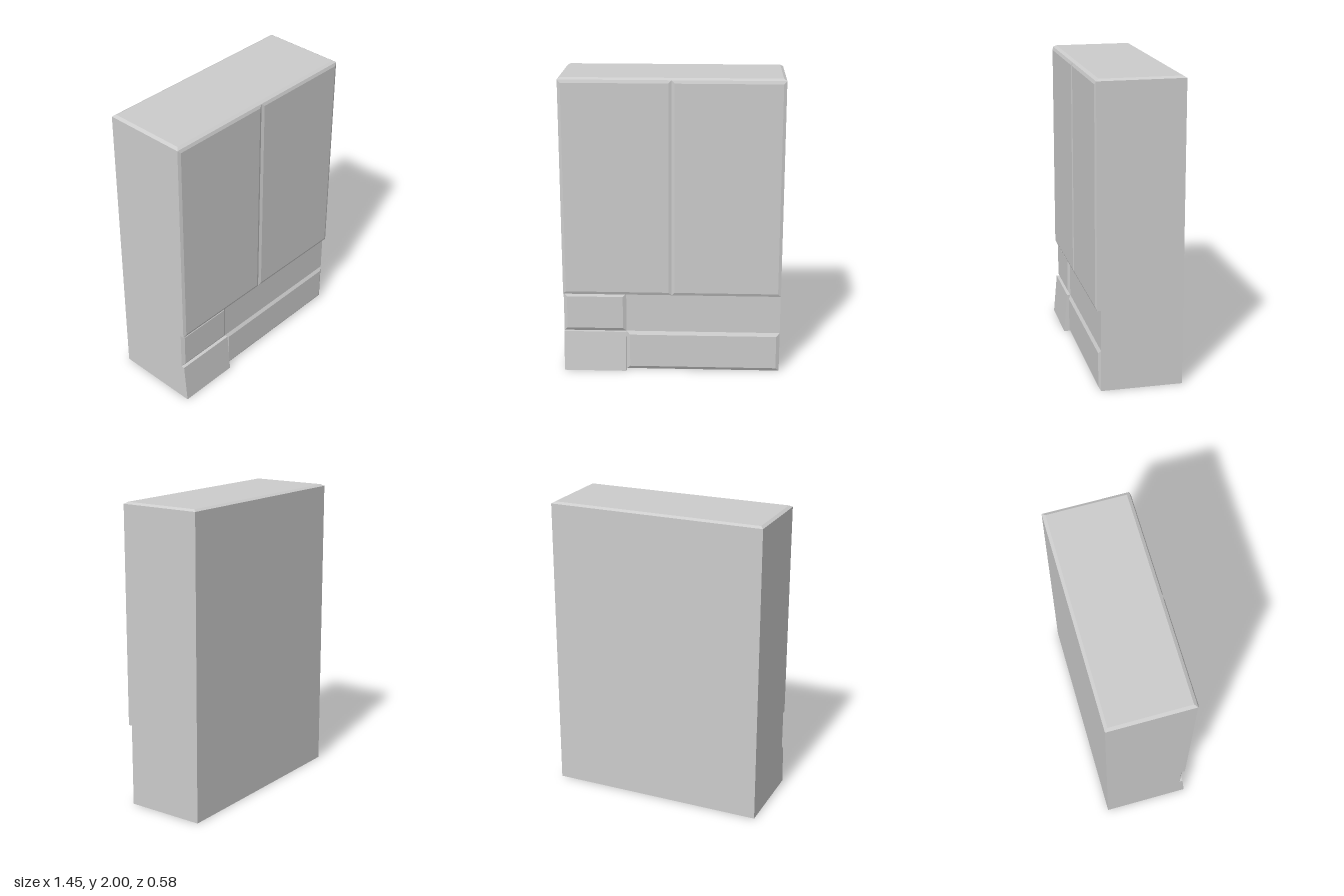
import * as THREE from 'three';

const W = 0.725, BACK = -0.29, BASE = 0.243, DOOR = 0.268;
const CAP = 1.988, SHELF = 0.545, MID = 0.275, SPLIT = -0.305;

const material = new THREE.MeshStandardMaterial({
  color: 0xcccccc, flatShading: true, side: THREE.DoubleSide,
});

// Mesh from quads whose corners run counter-clockwise seen from outside
function quadMesh(name, quads) {
  const positions = quads.flatMap(([a, b, c, d]) => [a, b, c, a, c, d]).flat();
  const geometry = new THREE.BufferGeometry();
  geometry.setAttribute('position', new THREE.Float32BufferAttribute(positions, 3));
  geometry.computeVertexNormals();
  const mesh = new THREE.Mesh(geometry, material);
  mesh.name = name;
  return mesh;
}

// Four walls from ring a to ring b, closed by ring b and open behind
function raised(name, a, b, firstWall = 0) {
  const quads = [b];
  for (let i = firstWall; i < 4; i++) {
    const j = (i + 1) % 4;
    quads.push([a[i], a[j], b[j], b[i]]);
  }
  return quadMesh(name, quads);
}

// Rectangle facing the front; zLow and zHigh let it lean
const frontRing = (x0, x1, y0, y1, zLow, zHigh = zLow) =>
  [[x0, y0, zLow], [x1, y0, zLow], [x1, y1, zHigh], [x0, y1, zHigh]];

// Rectangle facing up
const topRing = (y, inset) => [
  [-W + inset, y, DOOR - inset], [W - inset, y, DOOR - inset],
  [W - inset, y, BACK + inset], [-W + inset, y, BACK + inset],
];

// Front panel with chamfered edges
function panel(name, x0, x1, y0, y1, z, height, bevel) {
  return raised(name, frontRing(x0, x1, y0, y1, z),
    frontRing(x0 + bevel, x1 - bevel, y0 + bevel, y1 - bevel, z + height));
}

export function createModel() {
  const model = new THREE.Group();
  model.name = 'wardrobe';

  // Stepped side walls, mirrored
  const profile = new THREE.Shape([
    [BACK, 0], [BASE, 0], [BASE, SHELF], [DOOR, SHELF], [DOOR, CAP], [BACK, CAP],
  ].map(([z, y]) => new THREE.Vector2(z, y)));
  const sideGeometry = new THREE.ShapeGeometry(profile).rotateY(-Math.PI / 2);
  for (const s of [-1, 1]) {
    const side = new THREE.Mesh(sideGeometry, material);
    side.name = s < 0 ? 'rightSide' : 'leftSide';
    side.position.x = s * W;
    side.scale.x = -s;
    model.add(side);
  }

  // Back wall and chamfered top; the underside stays open
  model.add(quadMesh('back', [[[W, 0, BACK], [-W, 0, BACK], [-W, CAP, BACK], [W, CAP, BACK]]]));
  model.add(raised('top', topRing(CAP, 0), topRing(2, 0.02)));

  // Two tall doors above a small overhang
  model.add(panel('rightDoor', -W, 0, SHELF, CAP, DOOR, 0.008, 0.02));
  model.add(panel('leftDoor', 0, W, SHELF, CAP, DOOR, 0.008, 0.02));
  model.add(quadMesh('doorOverhang',
    [[[-W, SHELF, BASE], [W, SHELF, BASE], [W, SHELF, DOOR], [-W, SHELF, DOOR]]]));

  // Lower front: flat recess, two drawers and the leaning flap
  model.add(quadMesh('recess', [frontRing(SPLIT, W, MID, SHELF, BASE)]));
  model.add(panel('smallDrawer', -W, SPLIT, MID, SHELF, BASE, 0.014, 0.023));
  model.add(panel('wideDrawer', SPLIT, W, 0, MID, BASE, 0.014, 0.023));
  model.add(raised('leaningFlap', frontRing(-W, SPLIT, 0, MID, BASE),
    frontRing(-W, SPLIT, 0, MID, 0.29, 0.266), 1));

  return model;
}
